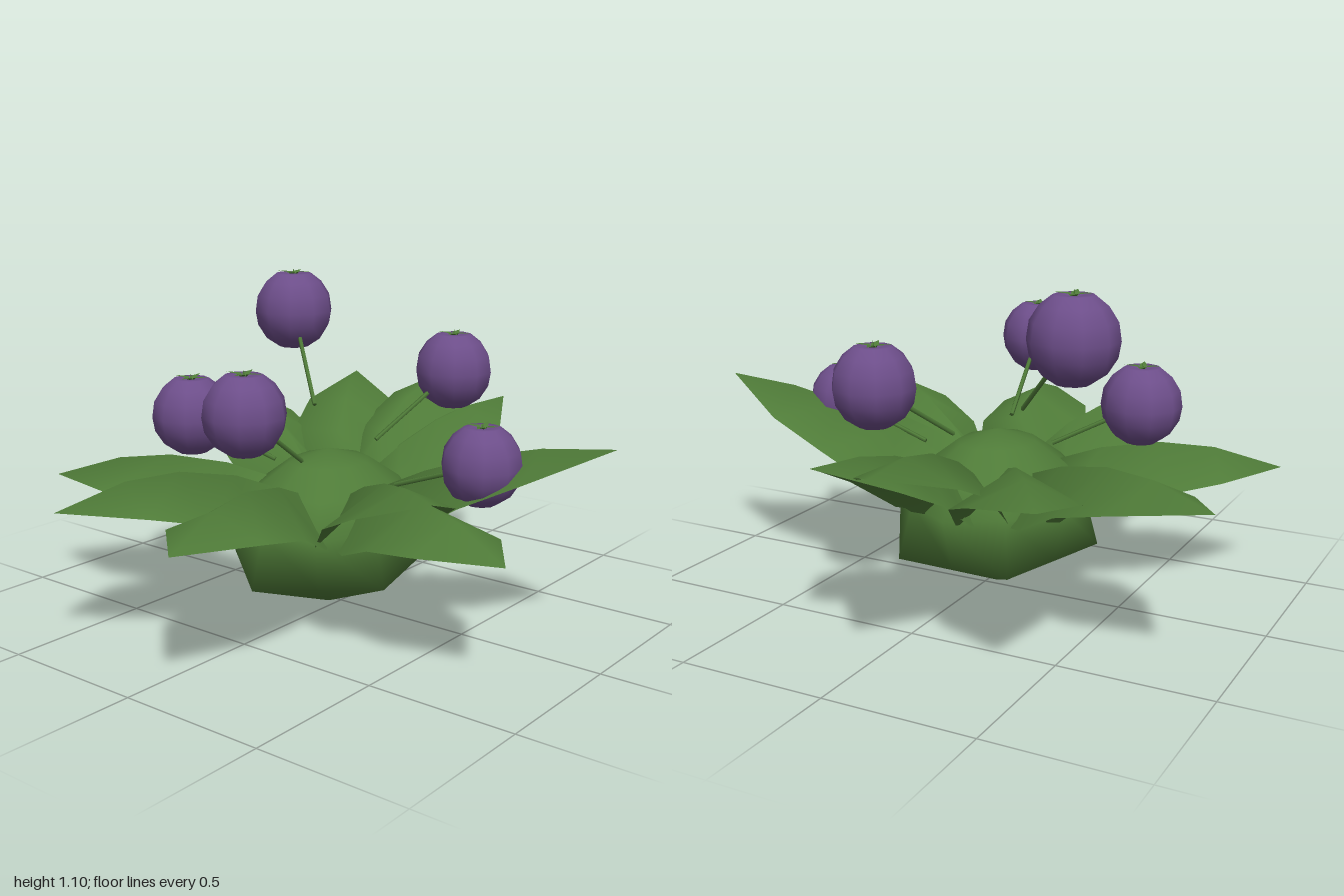
import * as THREE from 'three';
import { mergeVertices } from 'three/addons/utils/BufferGeometryUtils.js';

const leafGreen = new THREE.MeshStandardMaterial({ color: 0x4f7b38, side: THREE.DoubleSide });
leafGreen.name = 'leaf green';
const berryPurple = new THREE.MeshStandardMaterial({ color: 0x6d4e8a });
berryPurple.name = 'berry purple';

const CENTRE = new THREE.Vector3(-0.03, 0, -0.03);

function named(geometry, material, name) {
  const mesh = new THREE.Mesh(geometry, material);
  mesh.name = name;
  return mesh;
}

// Lathe whose seam is welded so that it shades smoothly all round
function smoothLathe(profile, sides, phiStart, reshape) {
  let g = new THREE.LatheGeometry(profile.map(p => new THREE.Vector2(...p)), sides, phiStart);
  if (reshape) reshape(g.attributes.position, profile.length);
  g.deleteAttribute('uv');
  g.deleteAttribute('normal');
  g = mergeVertices(g, 1e-4);
  g.computeVertexNormals();
  return g;
}

// Crown: a five-cornered pointed base rising into a round dome
function makeCrown() {
  const profile = [[0, 0], [0.395, 0.15], [0.38, 0.33], [0.27, 0.43], [0.15, 0.51], [0, 0.55]];
  const g = smoothLathe(profile, 10, -Math.PI / 2, (pos, rows) => {
    for (let i = 0; i < pos.count; i++) {
      const row = i % rows, odd = Math.floor(i / rows) % 2;
      const k = row === 1 && odd ? 0.809 : row === 2 && !odd ? 0.9 : 1;
      pos.setX(i, pos.getX(i) * k);
      pos.setZ(i, pos.getZ(i) * k * 0.87);
    }
  });
  const mesh = named(g, leafGreen, 'crown');
  mesh.position.copy(CENTRE);
  return mesh;
}

// Leaf: an arched midrib with both edges hanging below it
// Cross-sections are [distance along, half width, drop of the edges]; the tip is one point
const SECTIONS = [[0, 0.11, 0.16], [0.2, 0.165, 0.185], [0.46, 0.2, 0.125], [0.7, 0.165, 0.08]];
function makeLeaf([x, y, z, arch = 0.3]) {
  const tip = new THREE.Vector3(x, y, z);
  const out = tip.clone().sub(CENTRE).setY(0).normalize();
  const base = CENTRE.clone().addScaledVector(out, 0.2).setY(0.44);
  const side = new THREE.Vector3(-out.z, 0, out.x);
  const points = [], index = [];
  SECTIONS.forEach(([t, w, drop], row) => {
    for (const s of [-1, 0, 1]) {
      const p = base.clone().lerp(tip, t).addScaledVector(side, s * w);
      p.y += arch * t * (1 - t) - drop * Math.abs(s);
      points.push(...p.toArray());
    }
    for (const k of [row * 3, row * 3 + 1]) {
      if (row < SECTIONS.length - 1) index.push(k, k + 1, k + 3, k + 1, k + 4, k + 3);
      else index.push(k, k + 1, SECTIONS.length * 3);
    }
  });
  points.push(x, y, z);
  const g = new THREE.BufferGeometry();
  g.setAttribute('position', new THREE.Float32BufferAttribute(points, 3));
  g.setIndex(index.reverse());
  g.computeVertexNormals();
  return named(g, leafGreen, 'leaf');
}

// Leaf tips, with the arch where it differs
const LEAVES = [
  [-0.49, 0.41, -0.89], [0.5, 0.55, -0.97], [0.88, 0.61, -0.61], [0.99, 0.67, -0.17],
  [0.82, 0.61, 0.14, 0.2], [0.12, 0.67, 0.96, 0.2], [-0.36, 0.41, 0.87], [-0.48, 0.59, 0.7, 0.2],
  [-1.0, 0.47, 0.19, 0.36], [-0.95, 0.48, -0.35, 0.36],
];

// Berry of unit radius, with a dimple on top
const BERRY_PROFILE = [[0, -1], [0.38, -0.93], [0.72, -0.7], [0.94, -0.35], [1, 0],
  [0.94, 0.4], [0.73, 0.73], [0.45, 0.95], [0.2, 0.95], [0, 0.78]];

// Four narrow sepals around the dimple, with a short spike in the middle
function makeCalyx() {
  const group = new THREE.Group();
  group.name = 'calyx';
  const g = new THREE.BufferGeometry();
  g.setAttribute('position', new THREE.Float32BufferAttribute(
    [0, 0.84, 0, -0.1, 0.98, 0.12, 0.1, 0.98, 0.12, 0, 1.0, 0.46], 3));
  g.setIndex([0, 1, 2, 1, 3, 2]);
  g.computeVertexNormals();
  for (let i = 0; i < 4; i++) {
    const sepal = named(g, leafGreen, 'sepal');
    sepal.rotation.y = i * Math.PI / 2 + 0.25;
    group.add(sepal);
  }
  const spike = named(new THREE.ConeGeometry(0.05, 0.3, 5), leafGreen, 'spike');
  spike.position.y = 0.93;
  group.add(spike);
  return group;
}

// Berry centre, radius and the lower end of its stem
const BERRIES = [
  { at: [-0.555, 0.77, 0.07], r: 0.13, foot: [-0.22, 0.55, 0.01] },
  { at: [-0.235, 0.637, -0.47], r: 0.137, foot: [-0.11, 0.5, -0.2] },
  { at: [0.283, 0.947, -0.445], r: 0.143, foot: [0.08, 0.66, -0.18] },
  { at: [0.433, 0.77, 0.163], r: 0.136, foot: [0.13, 0.56, 0.05] },
  { at: [-0.022, 0.585, 0.573], r: 0.13, foot: [-0.03, 0.47, 0.25] },
];

function makeStem(from, to) {
  const a = new THREE.Vector3(...from), b = new THREE.Vector3(...to);
  const stem = named(new THREE.CylinderGeometry(0.008, 0.008, a.distanceTo(b), 5), leafGreen, 'stem');
  stem.position.copy(a).lerp(b, 0.5);
  stem.quaternion.setFromUnitVectors(new THREE.Vector3(0, 1, 0), b.sub(a).normalize());
  return stem;
}

export function createModel() {
  const model = new THREE.Group();
  model.name = 'berryPlant';
  model.add(makeCrown());
  for (const leaf of LEAVES) model.add(makeLeaf(leaf));
  const berryGeometry = smoothLathe(BERRY_PROFILE, 10, 0.3);
  for (const { at, r, foot } of BERRIES) {
    const fruit = new THREE.Group();
    fruit.name = 'fruit';
    fruit.add(named(berryGeometry, berryPurple, 'berry'), makeCalyx());
    fruit.position.set(...at);
    fruit.scale.setScalar(r);
    model.add(fruit, makeStem(foot, at));
  }
  return model;
}
